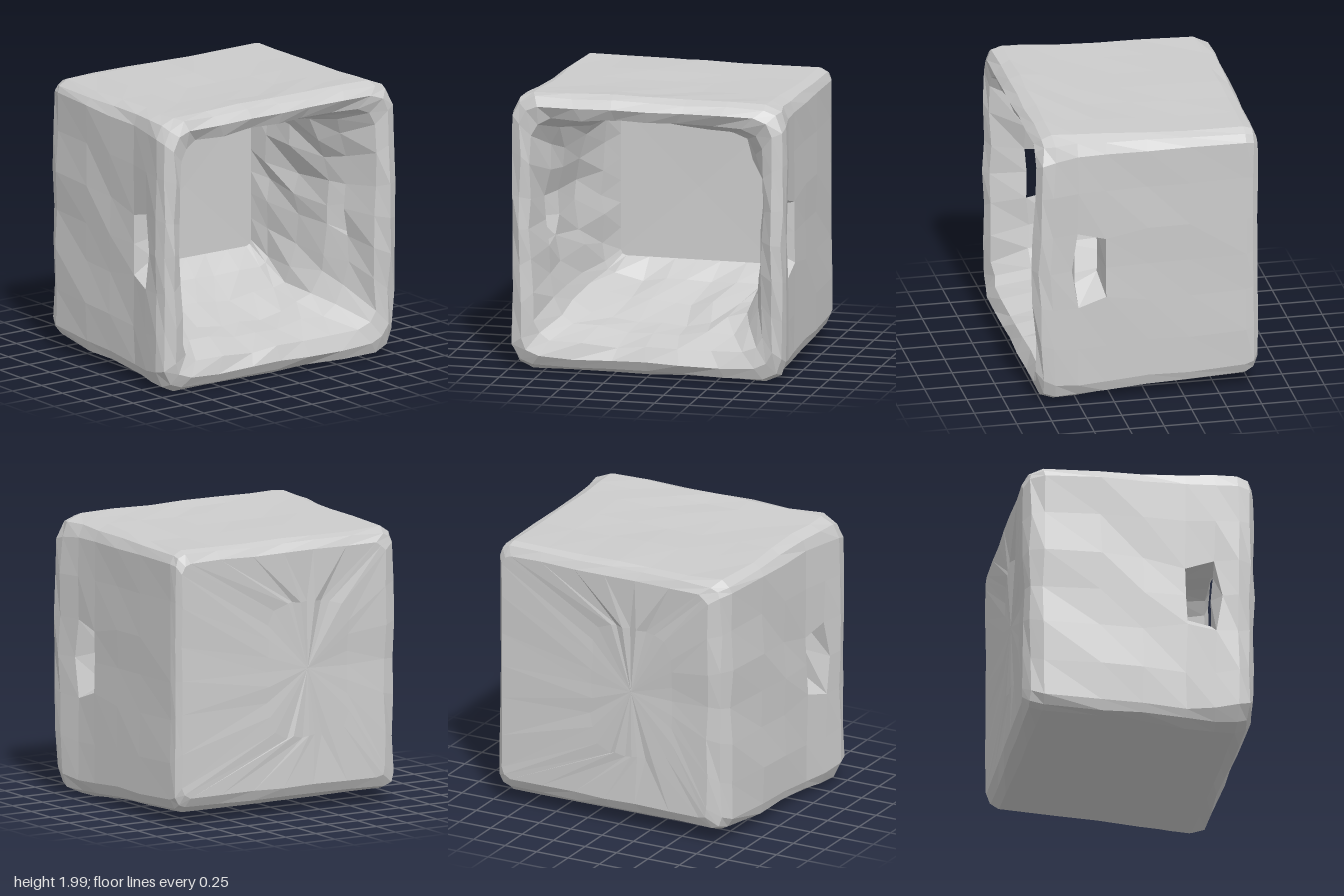
import * as THREE from 'three';

// Small seeded generator for the hewn, uneven surface
function seeded(seed) {
  let s = seed;
  return () => {
    s = (s * 16807) % 2147483647;
    return s / 2147483647 - 0.5;
  };
}

// Cross-sections: z, x0, x1, y0, y1, corner bevel, roughness, outward bow of the sides
// They run from the back face along the outside, over the lip, then inside to the rear wall.
const SECTIONS = [
  [-0.8, -0.45, 0.2, 0.55, 1.5, 0.15, 0.03, 0],
  [-0.81, -0.74, 0.91, 0.2, 1.87, 0.07, 0.01, 0],
  [-0.775, -0.83, 0.945, 0.13, 1.93, 0.08, 0.01, 0],
  [-0.7, -0.87, 0.95, 0.09, 1.95, 0.09, 0.01, 0],
  [-0.3, -0.9, 0.95, 0.07, 1.955, 0.09, 0.01, 0],
  [0.0, -0.91, 0.95, 0.06, 1.96, 0.1, 0.01, 0],
  [0.3, -0.92, 0.95, 0.03, 1.97, 0.11, 0.01, 0],
  [0.5, -0.96, 0.955, 0.01, 1.98, 0.12, 0.01, 0],
  [0.66, -0.99, 0.99, 0.01, 1.99, 0.15, 0.015, 0],
  [0.74, -0.97, 0.98, 0.04, 1.97, 0.15, 0.02, 0],
  [0.78, -0.91, 0.91, 0.11, 1.91, 0.13, 0.02, 0],
  [0.74, -0.83, 0.82, 0.22, 1.82, 0.13, 0.03, 0.01],
  [0.5, -0.75, 0.73, 0.3, 1.74, 0.17, 0.04, 0.04],
  [0.3, -0.7, 0.67, 0.35, 1.7, 0.18, 0.05, 0.06],
  [0.0, -0.64, 0.64, 0.4, 1.69, 0.16, 0.07, 0.05],
  [-0.28, -0.57, 0.63, 0.47, 1.67, 0.08, 0.05, 0.02],
  [-0.45, -0.5, 0.62, 0.58, 1.65, 0.04, 0, 0],
];
const STEPS = [0, 0.16, 0.34, 0.5, 0.66, 0.84, 1];
const RING = 4 * (STEPS.length + 1);
const HOLES = [2, 18]; // first ring column of each side window
const OUT = [6, 7], IN = [13, 12]; // sections bounding the windows

// Bevelled rectangle, counter-clockwise seen from the front
function ring([z, x0, x1, y0, y1, c, , bow]) {
  const points = [];
  const side = (ax, ay, bx, by, cx, cy, nx, ny) => {
    for (const t of STEPS) {
      const b = bow * Math.sin(Math.PI * t);
      points.push([ax + (bx - ax) * t + nx * b, ay + (by - ay) * t + ny * b, z]);
    }
    points.push([cx, cy, z]);
  };
  const k = 0.3 * c;
  side(x1, y0 + c, x1, y1 - c, x1 - k, y1 - k, 1, 0);
  side(x1 - c, y1, x0 + c, y1, x0 + k, y1 - k, 0, 1);
  side(x0, y1 - c, x0, y0 + c, x0 + k, y0 + k, -1, 0);
  side(x0 + c, y0, x1 - c, y0, x1 - k, y0 + k, 0, -1);
  return points;
}

function shellGeometry() {
  const rnd = seeded(4127);
  const positions = [];
  const index = [];
  const at = (i, j) => i * RING + (j % RING);
  const quad = (a, b, c, d) => index.push(a, b, c, a, c, d);
  const inHole = (j) => HOLES.some((h) => j === h || j === h + 1);

  SECTIONS.forEach((section, i) => {
    ring(section).forEach(([x, y, z], j) => {
      // The outside is more weathered on the right flank
      const rough = section[6] * (i < 8 && x < -0.7 ? 2 : 1);
      let px = x + rnd() * rough;
      let py = y + rnd() * rough;
      let pz = z + rnd() * rough;
      if (i < 3) pz += 0.02 * x; // back leans slightly
      if (i > 7 && i < 11 && x > 0.8) pz += 0.04 * (1 - Math.abs(y - 1)); // bulging post
      // Windows are narrower at the rear and pointed towards the front
      if (i === OUT[0] && (inHole(j) || inHole(j - 1))) py = 1 + (py - 1) * 0.78;
      if (i === OUT[1] && HOLES.includes(j - 1)) pz += 0.045;
      positions.push(px, py, pz);
    });
  });

  // Walls, leaving out the side windows
  for (let i = 0; i < SECTIONS.length - 1; i++) {
    for (let j = 0; j < RING; j++) {
      if ((i === OUT[0] || i === IN[1]) && inHole(j)) continue;
      quad(at(i, j), at(i, j + 1), at(i + 1, j + 1), at(i + 1, j));
    }
  }

  // Window reveals through the thickness of the walls
  for (const h of HOLES) {
    const loop = ([near, far]) => [
      at(near, h), at(near, h + 1), at(near, h + 2),
      at(far, h + 2), at(far, h + 1), at(far, h),
    ];
    const outer = loop(OUT);
    const inner = loop(IN);
    for (let k = 0; k < 6; k++) {
      const n = (k + 1) % 6;
      quad(outer[k], outer[n], inner[n], inner[k]);
    }
  }

  // Middle of the outer back face and of the inner rear wall
  const last = SECTIONS.length - 1;
  const backCentre = positions.length / 3;
  positions.push(-0.12, 1.03, -0.8);
  positions.push(0.06, 1.1, -0.46);
  for (let j = 0; j < RING; j++) {
    index.push(backCentre, at(0, j + 1), at(0, j));
    index.push(backCentre + 1, at(last, j), at(last, j + 1));
  }

  const geometry = new THREE.BufferGeometry();
  geometry.setAttribute('position', new THREE.Float32BufferAttribute(positions, 3));
  geometry.setIndex(index);
  const flat = geometry.toNonIndexed();
  flat.computeVertexNormals();
  return flat;
}

export function createModel() {
  const model = new THREE.Group();
  model.name = 'hollowStoneBlock';
  const stone = new THREE.MeshStandardMaterial({ color: 0xcccccc, flatShading: true });
  const shell = new THREE.Mesh(shellGeometry(), stone);
  shell.name = 'stoneShell';
  model.add(shell);
  return model;
}
